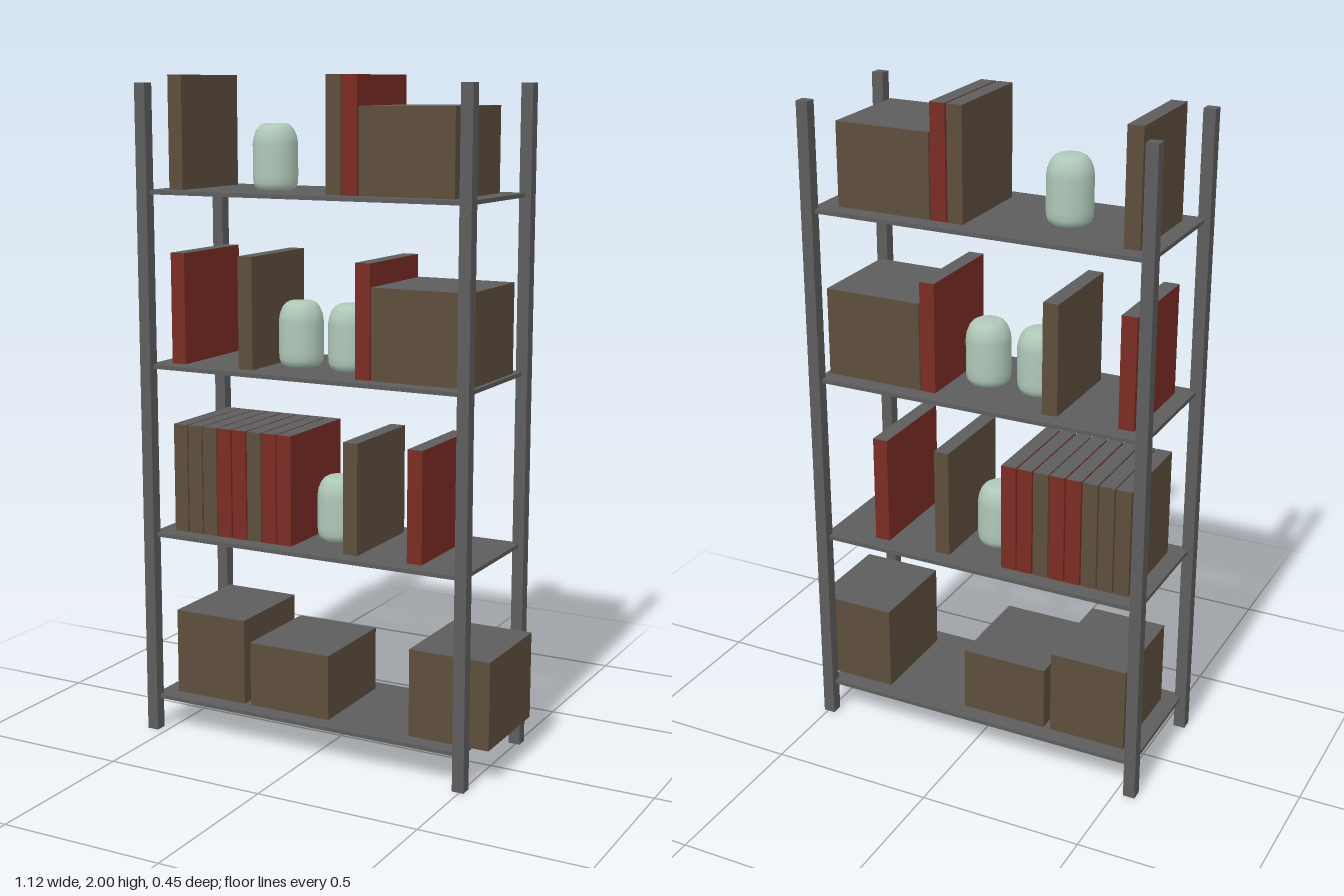
import * as THREE from 'three';

const mat = (name, color) => {
  const m = new THREE.MeshStandardMaterial({ color });
  m.name = name;
  return m;
};

export function createModel() {
  const model = new THREE.Group();
  const grey = mat('grey metal', 0x5e5d5d);
  const brown = mat('brown board', 0x5f4e3d);
  const red = mat('red cloth', 0x7a2c24);
  const green = mat('pale green glaze', 0xafc8b8);

  const add = (parent, name, geometry, material, x, y, z) => {
    const mesh = new THREE.Mesh(geometry, material);
    mesh.name = name;
    mesh.position.set(x, y, z);
    parent.add(mesh);
  };

  // Four square corner posts
  const postGeo = new THREE.BoxGeometry(0.036, 1.978, 0.036);
  for (const x of [-0.544, 0.495])
    for (const z of [-0.208, 0.208]) add(model, 'post', postGeo, grey, x, 0.989, z);

  const shelfGeo = new THREE.BoxGeometry(1.039, 0.012, 0.416);

  // Jar: straight wall, small foot curve and rounded shoulder
  const profile = [[0, 0], [0.052, 0], [0.061, 0.007], [0.066, 0.02], [0.067, 0.04], [0.067, 0.135],
    [0.064, 0.155], [0.056, 0.175], [0.046, 0.187], [0.035, 0.193], [0, 0.194]];
  const jarGeo = new THREE.LatheGeometry(profile.map(([r, y]) => new THREE.Vector2(r, y)), 28);

  // Books and boxes share a depth and have grey tops; x is the left edge seen from the front
  const block = (parent, name, x, width, height, color) => {
    const materials = [color, color, grey, color, color, color];
    add(parent, name, new THREE.BoxGeometry(width, height, 0.31), materials, x + width / 2, height / 2, 0);
  };

  // Contents of each shelf, bottom to top
  const shelves = [
    { boxes: [[-0.493, 0.241, 0.264], [-0.23, 0.269, 0.199], [0.305, 0.253, 0.264]], books: [], jars: [] },
    {
      boxes: [],
      books: [...[brown, brown, brown, red, red, brown, red, red].map((c, i) => [-0.493 + i * 0.0515, c]),
        [0.088, brown], [0.295, red]],
      jars: [-0.005],
    },
    { boxes: [[0.178, 0.304, 0.266]], books: [[-0.493, red], [-0.26, brown], [0.127, red]], jars: [-0.135, 0.032] },
    { boxes: [[0.137, 0.294, 0.248]], books: [[-0.493, brown], [0.033, brown], [0.085, red]], jars: [-0.22] },
  ];
  shelves.forEach(({ boxes, books, jars }, i) => {
    const level = new THREE.Group();
    level.name = 'shelfLevel' + (i + 1);
    level.position.y = 0.11 + i * 0.519;
    add(level, 'shelf', shelfGeo, grey, -0.0245, -0.006, 0);
    for (const [x, w, h] of boxes) block(level, 'storageBox', x, w, h, brown);
    for (const [x, color] of books) block(level, 'book', x, 0.047, 0.333, color);
    for (const x of jars) add(level, 'jar', jarGeo, green, x, 0, 0);
    model.add(level);
  });

  return model;
}
